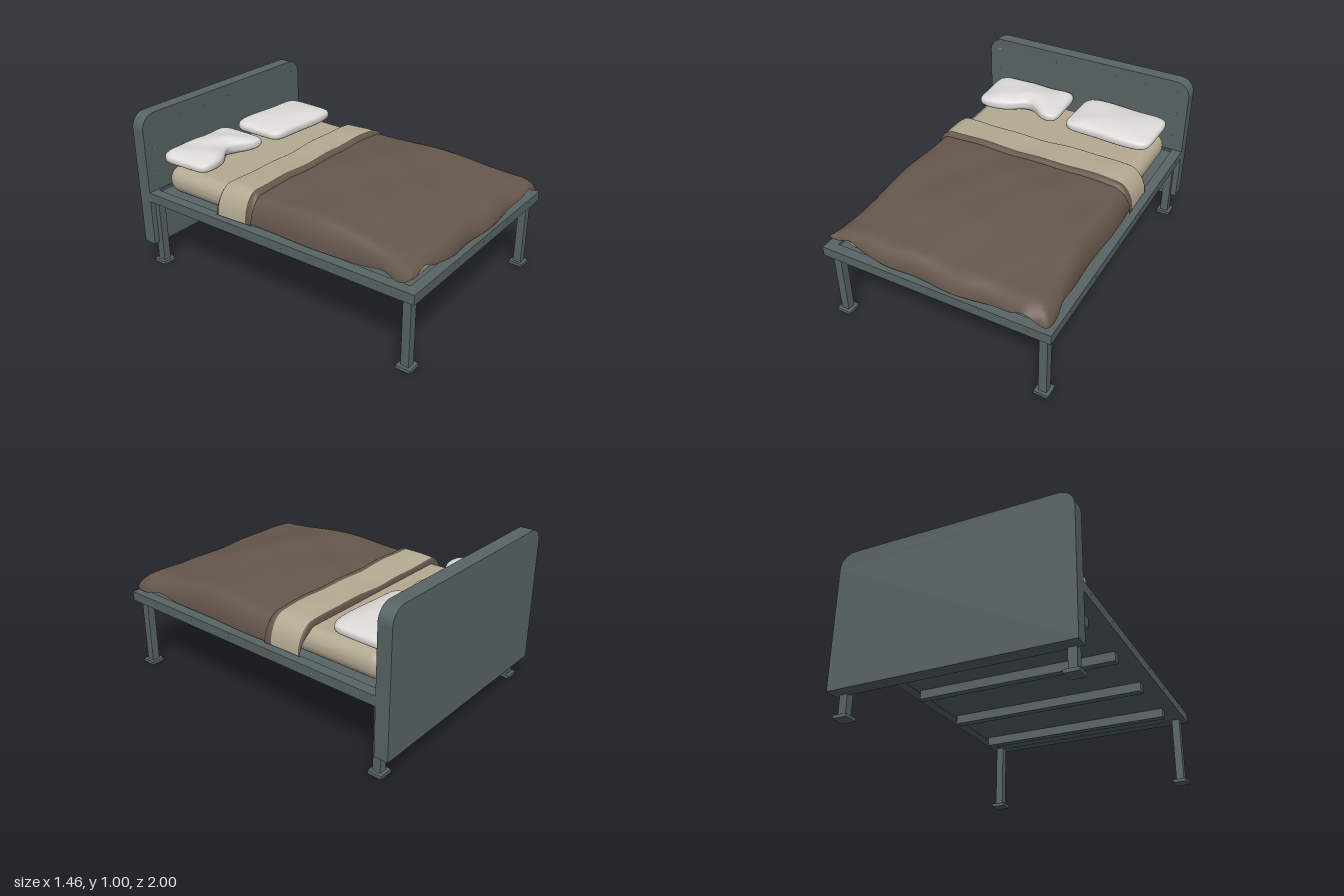
import * as THREE from 'three';
import { mergeVertices } from 'three/addons/utils/BufferGeometryUtils.js';
import { RoundedBoxGeometry } from 'three/addons/geometries/RoundedBoxGeometry.js';

const material = (name, color, side = THREE.FrontSide) => {
  const m = new THREE.MeshStandardMaterial({ color, side });
  m.name = name;
  return m;
};

export function createModel() {
  const bed = new THREE.Group();
  bed.name = 'bed';
  const steel = material('grey green steel', 0x596565);
  const rivetMat = material('rivet metal', 0xb4b8b6);
  const linen = material('beige linen', 0xb5ab93, THREE.DoubleSide);
  const brown = material('brown blanket', 0x66574b, THREE.DoubleSide);
  const white = material('white cotton', 0xdedcd9);

  const add = (name, geometry, mat, x = 0, y = 0, z = 0) => {
    const mesh = new THREE.Mesh(geometry, mat);
    mesh.name = name;
    mesh.position.set(x, y, z);
    bed.add(mesh);
    return mesh;
  };
  // Box given by its extents
  const box = (name, x0, x1, y0, y1, z0, z1) =>
    add(name, new THREE.BoxGeometry(x1 - x0, y1 - y0, z1 - z0), steel,
      (x0 + x1) / 2, (y0 + y1) / 2, (z0 + z1) / 2);

  // Headboard with rounded top corners
  const W = 0.725, R = 0.095;
  const outline = new THREE.Shape();
  outline.moveTo(-W, 0.14);
  outline.lineTo(W, 0.14);
  outline.lineTo(W, 1 - R);
  outline.absarc(W - R, 1 - R, R, 0, Math.PI / 2, false);
  outline.lineTo(-W + R, 1);
  outline.absarc(-W + R, 1 - R, R, Math.PI / 2, Math.PI, false);
  add('headboard', new THREE.ExtrudeGeometry(outline,
    { depth: 0.088, bevelEnabled: false, curveSegments: 8 }), steel, 0, 0, -1);

  // Frame, deck and slats
  box('frontRail', -0.66, 0.66, 0.44, 0.5, 0.935, 0.997);
  box('backRail', -0.66, 0.66, 0.44, 0.5, -0.912, -0.9);
  box('deck', -0.66, 0.66, 0.443, 0.485, -0.9, 0.935);
  for (const z of [0.71, 0.255, -0.2, -0.66])
    box('slat', -0.64, 0.64, 0.385, 0.443, z - 0.025, z + 0.025);
  for (const s of [-1, 1]) {
    const a = s * 0.66, b = s * W;
    box('sideRail', Math.min(a, b), Math.max(a, b), 0.44, 0.5, -0.912, 0.997);
    for (const z of [0.935, -0.905]) {
      const x = s * 0.664;
      box('leg', x - 0.025, x + 0.025, 0.02, 0.44, z - 0.025, z + 0.025);
      box('foot', x - 0.044, x + 0.044, 0, 0.02, z - 0.044, z + 0.044);
    }
  }

  // Domed rivets on headboard, front rail and side rails
  const rivetGeo = new THREE.SphereGeometry(0.005, 12, 8).scale(1, 1, 0.6);
  const rivet = (x, y, z, turn = 0) =>
    add('rivet', rivetGeo, rivetMat, x, y, z).rotation.set(0, turn, 0);
  for (let i = -3; i <= 3; i++) rivet(i * 0.2175, 0.93, -0.912);
  for (let i = -2; i <= 2; i++) rivet(i * 0.2925, 0.475, 0.997);
  for (const s of [-1, 1]) {
    for (const y of [0.775, 0.61]) rivet(s * 0.6525, y, -0.912);
    for (let i = 0; i < 6; i++) rivet(s * W, 0.473, 0.77 - i * 0.316, s * Math.PI / 2);
  }

  // Mattress, thinning slightly towards the foot
  const mattress = new RoundedBoxGeometry(1.25, 0.17, 1.8, 6, 0.08);
  const mp = mattress.attributes.position;
  for (let i = 0; i < mp.count; i++)
    mp.setY(i, (mp.getY(i) + 0.085) * (1 - 0.13 * (mp.getZ(i) + 0.75)));
  add('mattress', mattress, linen, 0, 0.482, 0.035);

  // Draped cloth: a gently creased top curving down to the hem
  const HEM = 0.506;
  const bump = (t, centre, width) => Math.exp(-(((t - centre) / width) ** 2));
  const topHeight = (x, z) => 0.665 + 0.018 * Math.cos((z - 0.25) * 3) - 0.03 * x * x
    - 0.035 * THREE.MathUtils.smoothstep(z, 0.5, 0.95)
    + 0.005 * Math.sin(7 * x + 4 * z) + 0.004 * Math.sin(11 * z - 6 * x + 1)
    + 0.003 * Math.sin(17 * x + 9 * z + 2);
  const cloth = (name, mat, z0, z1, rows, lift, flare, hasFront) => {
    const geo = new THREE.PlaneGeometry(2, 1, 72, rows).rotateX(-Math.PI / 2);
    const p = geo.attributes.position;
    for (let i = 0; i < p.count; i++) {
      const u = p.getX(i), s = Math.sign(u);
      const t = THREE.MathUtils.clamp(p.getZ(i) + 0.5, 0, 1);
      const ex = Math.max(0, Math.abs(u) - 0.8) / 0.2;
      const ez = hasFront ? Math.max(0, t - 0.87) / 0.13 : 0;
      const flat = Math.min(Math.abs(u), 0.8) / 0.8 * 0.575;
      let z = z0 + (z1 - z0) * t;
      if (hasFront) z = ez > 0
        ? 0.875 + (z1 - 0.875) * Math.sin(ez * Math.PI / 2)
        : z0 + (0.875 - z0) * t / 0.87;
      // Sides spread towards the foot corners
      const spread = 0.095 + flare + 0.03 * bump(z, 0.92, 0.12) + 0.006 * Math.sin(9 * z + s);
      const x = s * (flat + spread * Math.sin(ex * Math.PI / 2));
      z += 0.02 * x * ez + 0.008 * Math.sin(14 * x) * ez;
      const corner = (s < 0 ? 0.75 : 0.15) * ex * ez;
      const drop = (1 - Math.cos(Math.max(ex, ez) * Math.PI / 2)) * (1 - corner);
      const edge = Math.abs(x);
      const hem = HEM + (0.055 * bump(edge, 0.57, 0.07) + 0.025 * bump(edge, 0.45, 0.13)) * ez
        + (hasFront ? 0.03 * bump(z, 0.78, 0.1) * ex : 0);
      const top = topHeight(x, z) + lift(t);
      p.setXYZ(i, x, top + (hem - top) * drop, z);
    }
    geo.computeVertexNormals();
    add(name, geo, mat);
  };
  cloth('blanket', brown, -0.15, 0.97, 72, () => 0, 0, true);
  // Turned-down top of the blanket: rolled edge, lining and fold
  cloth('foldHeadEdge', brown, -0.372, -0.358, 4,
    t => 0.018 - 0.045 * (1 - Math.sqrt(t * (2 - t))), 0.015, false);
  cloth('foldLining', linen, -0.358, -0.16, 14, () => 0.018, 0.015, false);
  cloth('foldRoll', brown, -0.16, -0.115, 8,
    t => 0.018 + 0.004 * Math.sin(Math.PI * t) - 0.02 * t ** 4, 0.015, false);

  // Pillows: a plump sphere squared off in plan, with softly rumpled faces
  const pillow = (name, x, z, halfW, halfD, notch, turn) => {
    const sphere = new THREE.SphereGeometry(1, 64, 40);
    sphere.deleteAttribute('uv');
    sphere.deleteAttribute('normal');
    const geo = mergeVertices(sphere, 1e-4);
    const p = geo.attributes.position;
    for (let i = 0; i < p.count; i++) {
      const vx = p.getX(i), vy = p.getY(i), vz = p.getZ(i);
      const angle = Math.atan2(vz, vx);
      const k = (Math.abs(Math.cos(angle)) ** 7 + Math.abs(Math.sin(angle)) ** 7) ** (-1 / 7);
      const px = vx * k * halfW;
      let pz = vz * k * halfD;
      const dent = notch * bump(px, 0.05, 0.11);
      if (pz > 0) pz *= 1 - dent;
      let py = Math.sign(vy) * Math.abs(vy) ** 0.68 * 0.057;
      if (vy > 0) py += vy * (0.005 * Math.sin(9 * px + 13 * pz) - 0.05 * dent * Math.max(0, vz)
        + notch * 0.01 * Math.sin(24 * px - 10 * pz));
      p.setXYZ(i, px, py, pz + 0.006 * Math.sin(12 * px));
    }
    geo.computeVertexNormals();
    add(name, geo, white, x, 0.708, z).rotation.y = turn;
  };
  pillow('rightPillow', -0.335, -0.722, 0.288, 0.184, 0.6, 0.04);
  pillow('leftPillow', 0.325, -0.709, 0.293, 0.193, 0, -0.015);

  return bed;
}
